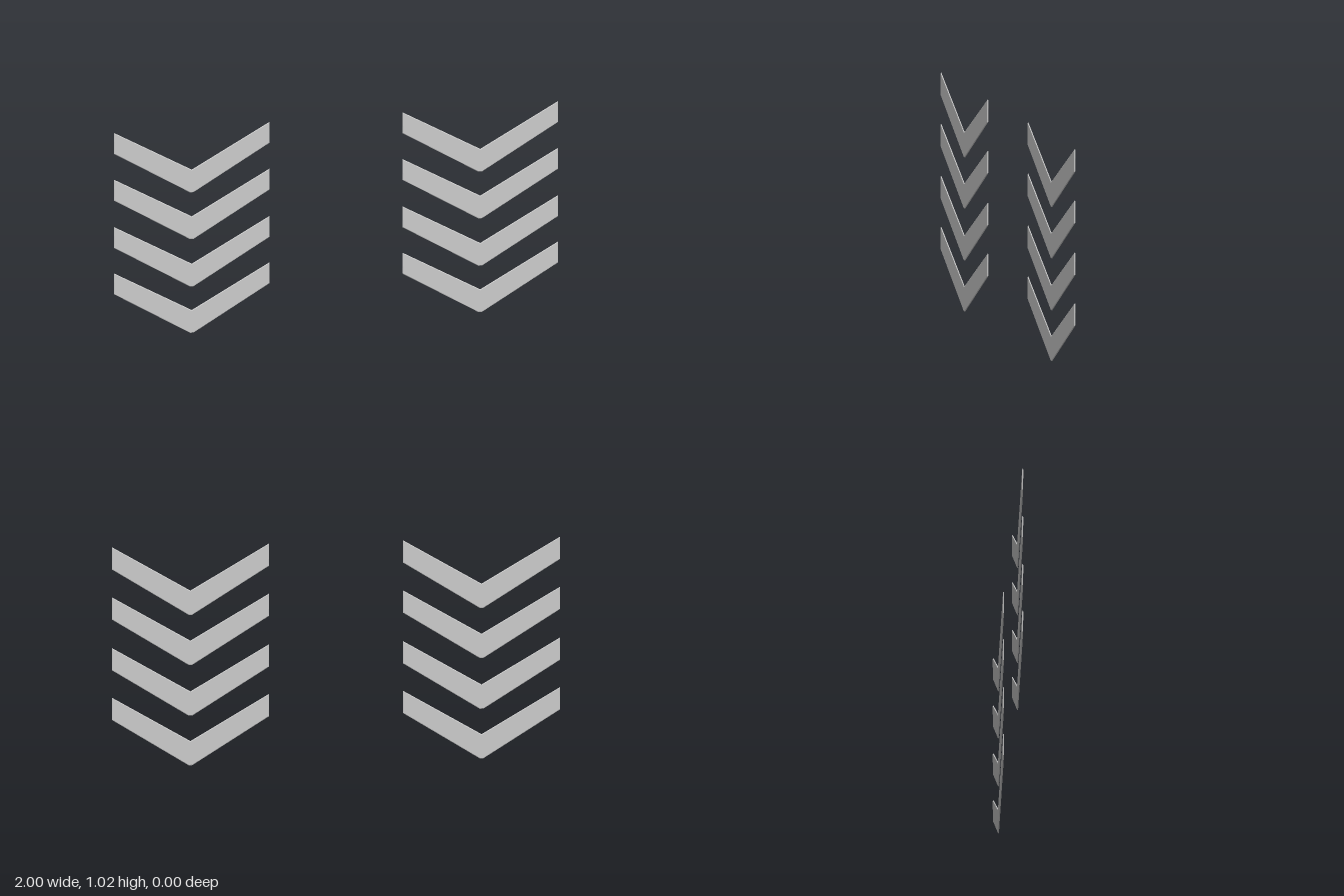
import * as THREE from 'three';

// Thin V-shaped plate with its lowest point at the origin
function chevronGeometry() {
  const half = 0.35;
  const shape = new THREE.Shape([
    [-0.008, 0.002], [0.008, 0.002], [half, 0.22], [half, 0.323],
    [0, 0.114], [-half, 0.323], [-half, 0.22],
  ].map(([x, y]) => new THREE.Vector2(x, y)));
  const geometry = new THREE.ExtrudeGeometry(shape, {
    depth: 0.002, bevelEnabled: true, bevelThickness: 0.0015,
    bevelSize: 0.003, bevelOffset: -0.003, bevelSegments: 1,
  });
  geometry.translate(0, 0, -0.001);
  return geometry;
}

export function createModel() {
  const model = new THREE.Group();
  model.name = 'chevrons';
  const material = new THREE.MeshStandardMaterial({ color: 0xcccccc });
  const geometry = chevronGeometry();

  // Two mirrored stacks of four chevrons
  for (const [name, side] of [['leftStack', 1], ['rightStack', -1]]) {
    const stack = new THREE.Group();
    stack.name = name;
    stack.position.x = side * 0.65;
    [0, 0.23, 0.465, 0.697].forEach((y, i) => {
      const chevron = new THREE.Mesh(geometry, material);
      chevron.name = `chevron${i + 1}`;
      chevron.position.y = y;
      stack.add(chevron);
    });
    model.add(stack);
  }
  return model;
}
